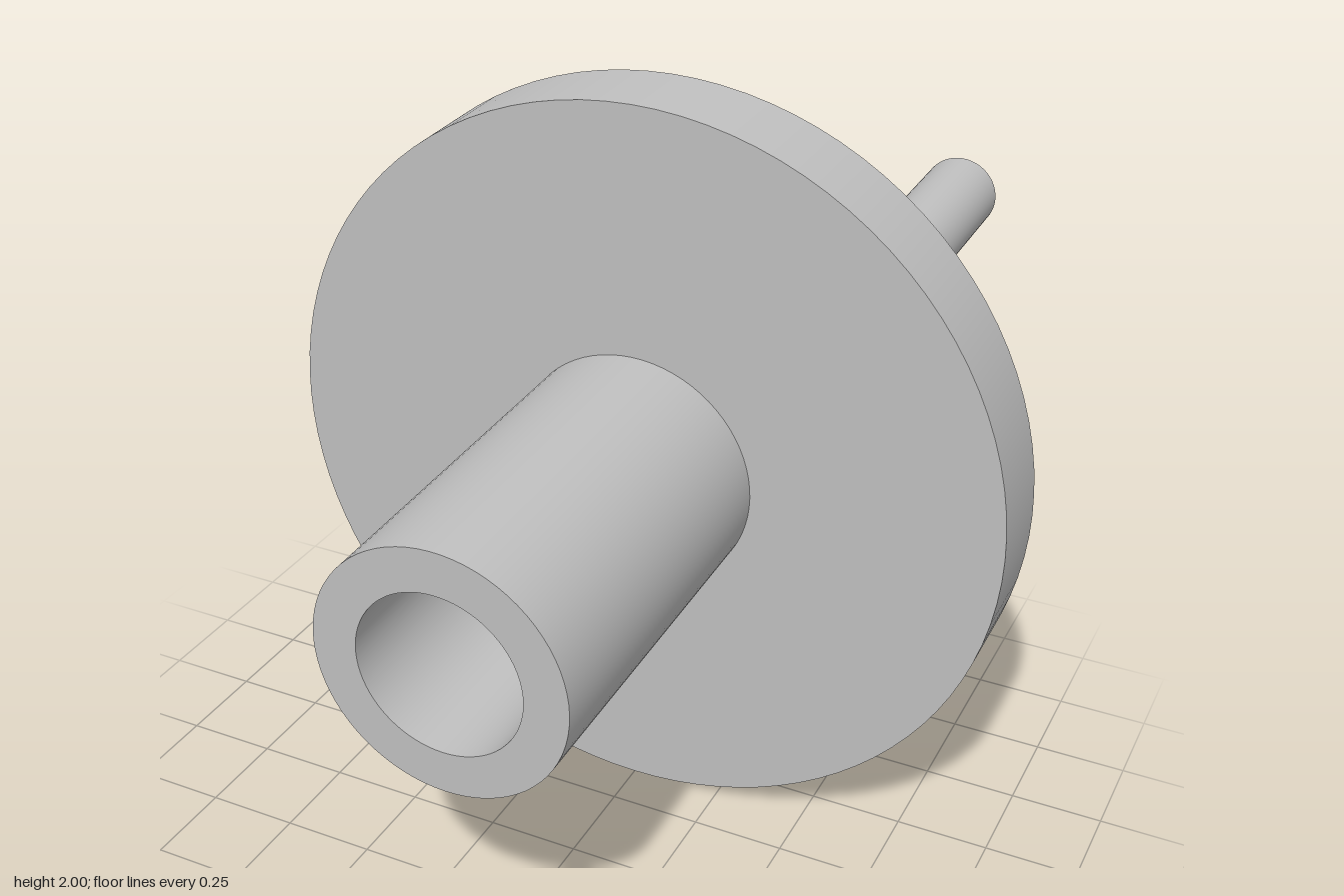
import * as THREE from 'three';
import { mergeGeometries } from 'three/addons/utils/BufferGeometryUtils.js';

// Solid of revolution about z; each profile edge is its own band, so corners stay sharp
function turned(profile, segments) {
  const bands = [];
  for (let i = 0; i < profile.length - 1; i++) {
    const pair = [profile[i], profile[i + 1]].map(([r, z]) => new THREE.Vector2(r, z));
    bands.push(new THREE.LatheGeometry(pair, segments));
  }
  return mergeGeometries(bands).rotateX(Math.PI / 2);
}

export function createModel() {
  const model = new THREE.Group();
  model.name = 'flangedHub';
  const grey = new THREE.MeshStandardMaterial({ color: 0xc0c0c0 });
  grey.name = 'grey metal';

  const add = (name, profile, segments, x = 0, y = 0) => {
    const mesh = new THREE.Mesh(turned(profile, segments), grey);
    mesh.name = name;
    mesh.position.set(x, y, 0);
    body.add(mesh);
  };

  // The whole part leans forward very slightly
  const body = new THREE.Group();
  body.name = 'body';
  body.position.set(0, 1, -0.224);
  body.rotation.x = 0.0227;
  model.add(body);

  const plateR = 0.9973, half = 0.116;
  const hubR = 0.33, boreR = 0.216, hubEnd = 1.109;
  const pinR = 0.097, pinEnd = -0.648, pinOffset = 0.587;

  // Round plate
  add('plate', [[0, -half], [plateR, -half], [plateR, half], [0, half]], 96);

  // Hollow hub, its bore stopping at the plate
  add('hub', [[hubR, half], [hubR, hubEnd], [boreR, hubEnd], [boreR, half]], 72);

  // Four pins on the back
  for (const sx of [-1, 1]) {
    for (const sy of [-1, 1]) {
      const name = (sy > 0 ? 'upper' : 'lower') + (sx > 0 ? 'Left' : 'Right') + 'Pin';
      add(name, [[0, pinEnd], [pinR, pinEnd], [pinR, -half]], 48, sx * pinOffset, sy * pinOffset);
    }
  }
  return model;
}
